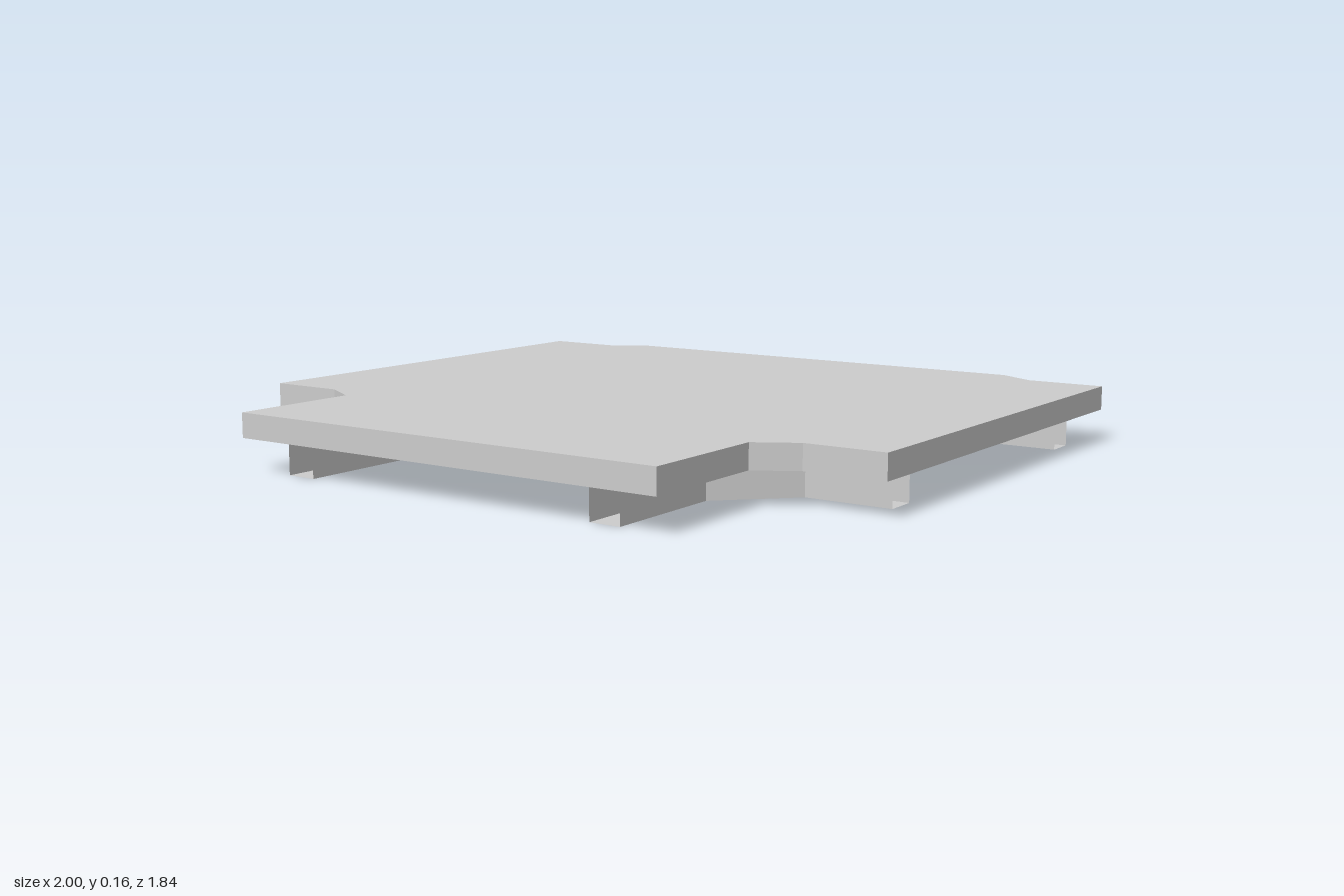
import * as THREE from 'three';

const BOTTOM = 0, DECK = 0.092, TOP = 0.16;

// Open-ended square tube between two plan outlines of [x, z] points;
// "right" lies on the right-hand side of the direction of travel.
function channel(name, right, left, material) {
  const rings = right.map(([ax, az], i) => {
    const [bx, bz] = left[i];
    return [[ax, BOTTOM, az], [ax, DECK, az], [bx, DECK, bz], [bx, BOTTOM, bz]];
  });
  const positions = [];
  for (let i = 0; i < rings.length - 1; i++) {
    for (let j = 0; j < 4; j++) {
      const k = (j + 1) % 4;
      const [p, q, r, s] = [rings[i][j], rings[i + 1][j], rings[i + 1][k], rings[i][k]];
      positions.push(...p, ...q, ...r, ...p, ...r, ...s);
    }
  }
  const geometry = new THREE.BufferGeometry();
  geometry.setAttribute('position', new THREE.Float32BufferAttribute(positions, 3));
  geometry.computeVertexNormals();
  const mesh = new THREE.Mesh(geometry, material);
  mesh.name = name;
  return mesh;
}

export function createModel() {
  const model = new THREE.Group();
  model.name = 'floorPanel';
  const solid = new THREE.MeshStandardMaterial({ color: 0xcccccc, flatShading: true });
  const thin = new THREE.MeshStandardMaterial({ color: 0xcccccc, flatShading: true, side: THREE.DoubleSide });

  // Flat panel: half outline from front to back, mirrored across x
  const half = [[0.665, 0.92], [0.665, 0.54], [0.775, 0.475], [1, 0.475],
    [1, -0.855], [0.775, -0.855], [0.665, -0.92]];
  const outline = [...half, ...half.map(([x, z]) => [-x, z]).reverse()];
  const shape = new THREE.Shape(outline.map(([x, z]) => new THREE.Vector2(x, -z)));
  const panelGeometry = new THREE.ExtrudeGeometry(shape, { depth: TOP - DECK, bevelEnabled: false });
  panelGeometry.rotateX(-Math.PI / 2).translate(0, DECK, 0);
  const panel = new THREE.Mesh(panelGeometry, solid);
  panel.name = 'panel';
  model.add(panel);

  // Straight channel under the back edge
  model.add(channel('rearChannel',
    [[-0.95, -0.635], [0.95, -0.635]],
    [[-0.95, -0.72], [0.95, -0.72]], thin));

  // Bent channels that follow the two front notches
  const outer = [[0.535, 0.88], [0.535, 0.525], [0.71, 0.35], [0.95, 0.35]];
  const inner = [[0.448, 0.88], [0.448, 0.489], [0.674, 0.263], [0.95, 0.263]];
  const mirror = points => points.map(([x, z]) => [-x, z]);
  model.add(channel('leftFrontChannel', outer, inner, thin));
  model.add(channel('rightFrontChannel', mirror(inner), mirror(outer), thin));

  return model;
}
